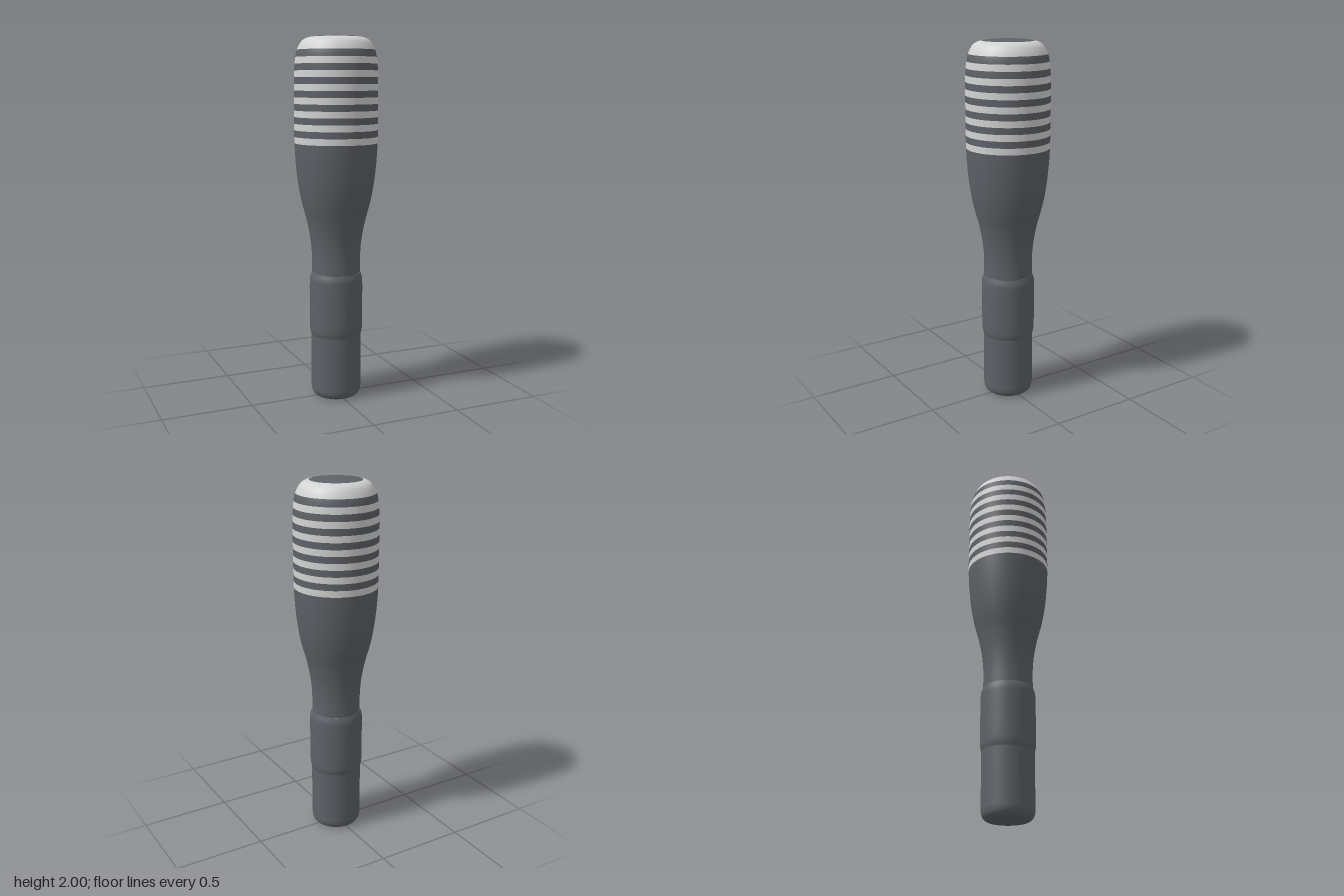
import * as THREE from 'three';

const charcoal = new THREE.MeshStandardMaterial({ color: 0x5e6167 });
charcoal.name = 'charcoal';
const paleGrey = new THREE.MeshStandardMaterial({ color: 0xd2d3d3 });
paleGrey.name = 'pale grey';

const SEGMENTS = 72;

// Smooth run of [radius, height] points
function smooth(points, count) {
  const curve = new THREE.CatmullRomCurve3(points.map(([r, y]) => new THREE.Vector3(r, y, 0)));
  return curve.getPoints(count).map((p) => new THREE.Vector2(Math.max(p.x, 0), p.y));
}

// Cut a rising profile between two heights
function slice(profile, y0, y1) {
  const at = (y) => {
    const i = Math.max(1, profile.findIndex((p) => p.y >= y));
    const a = profile[i - 1], b = profile[i];
    return new THREE.Vector2(THREE.MathUtils.lerp(a.x, b.x, (y - a.y) / (b.y - a.y)), y);
  };
  const inner = profile.filter((p) => p.y > y0 + 0.0005 && p.y < y1 - 0.0005);
  return [at(y0), ...inner, at(y1)];
}

export function createModel() {
  const model = new THREE.Group();
  model.name = 'club';

  const turn = (name, points, material) => {
    const mesh = new THREE.Mesh(new THREE.LatheGeometry(points, SEGMENTS), material);
    mesh.name = name;
    model.add(mesh);
  };

  // Flat base
  const base = new THREE.Mesh(new THREE.CircleGeometry(0.11, SEGMENTS), charcoal);
  base.name = 'base';
  base.rotation.x = Math.PI / 2;
  model.add(base);

  // Handle with rounded foot and a slightly thicker grip sleeve
  turn('handle', [
    ...smooth([[0.11, 0], [0.125, 0.01], [0.135, 0.028], [0.139, 0.055]], 10),
    new THREE.Vector2(0.139, 0.355),
  ], charcoal);
  turn('gripSleeve', smooth([
    [0.139, 0.355], [0.145, 0.38], [0.147, 0.42], [0.147, 0.53],
    [0.147, 0.64], [0.145, 0.68], [0.135, 0.71],
  ], 32), charcoal);

  // Neck, flared body and rounded shoulder share one profile
  const profile = smooth([
    [0.134, 0.71], [0.134, 0.81], [0.142, 0.9], [0.161, 1.0], [0.19, 1.11],
    [0.208, 1.21], [0.22, 1.32], [0.226, 1.43], [0.2265, 1.6], [0.2265, 1.75],
    [0.223, 1.84], [0.212, 1.915], [0.187, 1.965], [0.165, 1.982], [0.139, 1.99],
  ], 120);
  const start = 1.427, pitch = 0.0705, width = 0.035;
  turn('body', slice(profile, 0.71, start), charcoal);

  // Alternating rings around the barrel
  for (let i = 0; i < 7; i++) {
    const y = start + i * pitch;
    turn('paleRing' + (i + 1), slice(profile, y, y + width), paleGrey);
    turn('darkRing' + (i + 1), slice(profile, y + width, i < 6 ? y + pitch : 1.923), charcoal);
  }

  // Pale shoulder and shallow domed end
  turn('shoulder', slice(profile, 1.923, 1.99), paleGrey);
  turn('endCap', smooth([[0.139, 1.99], [0.1, 1.995], [0.05, 1.999], [0, 2]], 12), charcoal);

  return model;
}
